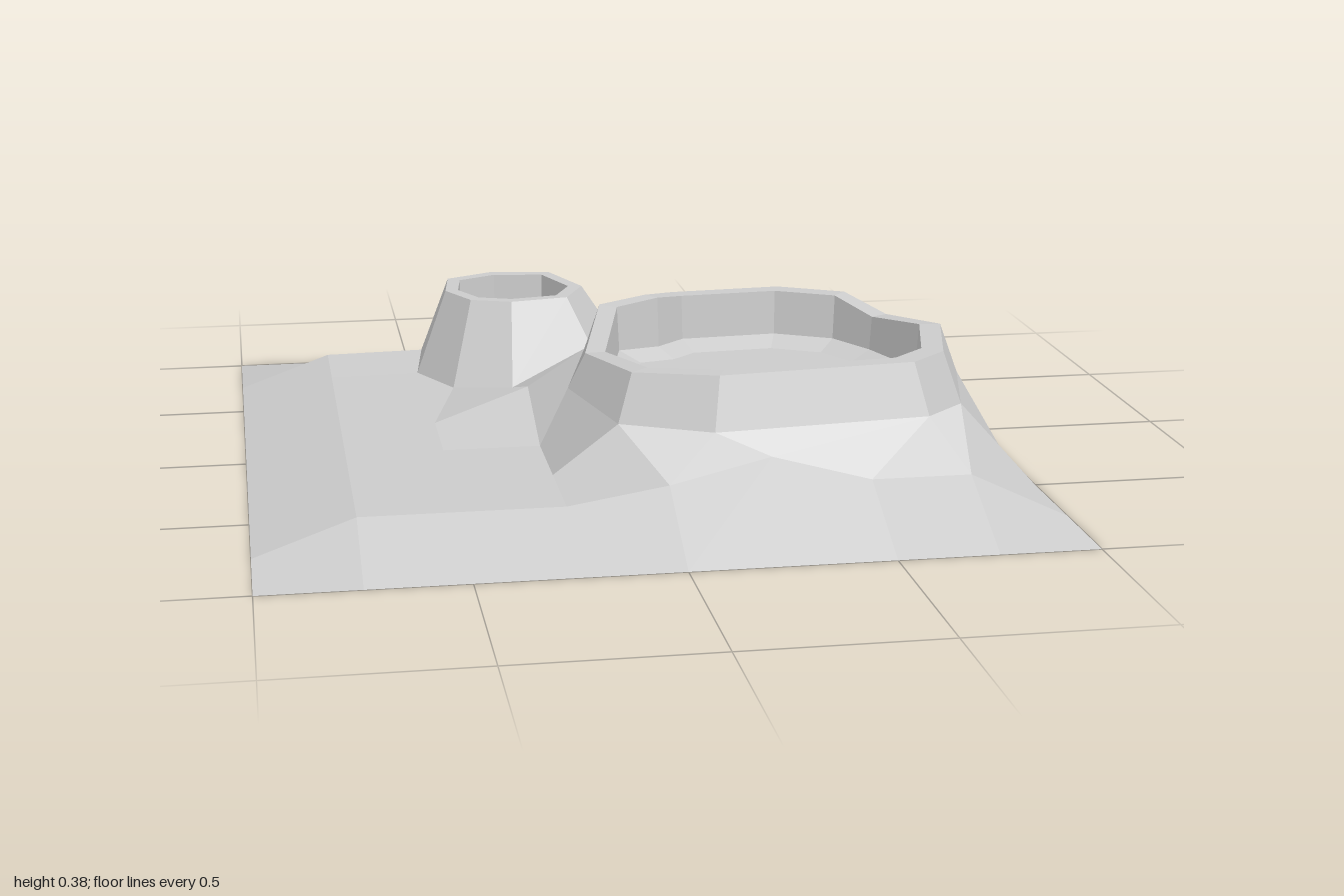
import * as THREE from 'three';

const STEP = 0.25, N = 9;
const material = new THREE.MeshStandardMaterial({ color: 0xcccccc, side: THREE.DoubleSide });

// Each crater replaces a square block of grid cells. Its rim [x, y, z] runs clockwise
// seen from above, from the block's back left corner; the other loops are scaled from it.
const largeCrater = {
  name: 'largeCrater', col: 4, row: 3, size: 3, centre: [0.33, 0.2],
  rim: [[0.09, 0.385, -0.14], [0.18, 0.37, -0.22], [0.48, 0.37, -0.24], [0.65, 0.37, -0.15],
    [0.73, 0.34, 0], [0.81, 0.37, 0.24], [0.74, 0.37, 0.51], [0.64, 0.37, 0.6],
    [0.14, 0.37, 0.65], [-0.06, 0.36, 0.55], [-0.13, 0.33, 0.24], [-0.04, 0.37, -0.11]],
  baseY: Array(12).fill(0.24), baseScale: 1.1, lipScale: 0.885,
  wallScale: 0.87, wallY: 0.25, floorScale: 0.73, floorY: 0.225,
};
const smallCrater = {
  name: 'smallCrater', col: 2, row: 1, size: 2, centre: [-0.23, -0.54],
  rim: [[-0.4, 0.325, -0.67], [-0.27, 0.325, -0.735], [-0.1, 0.325, -0.71], [-0.03, 0.325, -0.52],
    [-0.09, 0.325, -0.39], [-0.25, 0.325, -0.36], [-0.36, 0.325, -0.4], [-0.42, 0.325, -0.52]],
  baseY: [0.1, 0.17, 0.19, 0.19, 0.19, 0.1, 0.09, 0.09], baseScale: 1.45, lipScale: 0.81,
  wallScale: 0.8, wallY: 0.25, floorScale: 0.6, floorY: 0.25,
};
const craters = [smallCrater, largeCrater];

// Copy of a crater's rim, scaled about its centre, with heights from a rule
function scaledRim({ rim, centre: [cx, cz] }, scale, height) {
  return rim.map(([x, y, z], i) => [cx + (x - cx) * scale, height(y, i), cz + (z - cz) * scale]);
}

const baseLoop = (crater) => scaledRim(crater, crater.baseScale, (y, i) => crater.baseY[i]);
const spanAcross = (p, q) => Math.hypot(p[0] - q[0], p[2] - q[2]);

// Mesh of four-cornered facets, each shaded flat and split along its shorter diagonal
function facetMesh(name, quads) {
  const positions = [], normals = [];
  for (const quad of quads) {
    const [p, q, r, s] = quad.map((corner) => new THREE.Vector3(...corner));
    const normal = r.clone().sub(p).cross(s.clone().sub(q)).normalize();
    const alongPR = spanAcross(quad[0], quad[2]) < 0.8 * spanAcross(quad[1], quad[3]);
    for (const corner of alongPR ? [p, q, r, p, r, s] : [p, q, s, q, r, s]) {
      positions.push(...corner.toArray());
      normals.push(...normal.toArray());
    }
  }
  const geometry = new THREE.BufferGeometry();
  geometry.setAttribute('position', new THREE.Float32BufferAttribute(positions, 3));
  geometry.setAttribute('normal', new THREE.Float32BufferAttribute(normals, 3));
  const mesh = new THREE.Mesh(geometry, material);
  mesh.name = name;
  return mesh;
}

// Closed band between two loops with the same number of points
function band(name, outer, inner) {
  const n = outer.length;
  return facetMesh(name, outer.map((p, i) => [p, inner[i], inner[(i + 1) % n], outer[(i + 1) % n]]));
}

// Flat disc closing a loop, two edges to a facet
function disc(name, loop, { centre: [cx, cz], floorY }) {
  const quads = [];
  for (let i = 0; i < loop.length; i += 2) {
    quads.push([loop[i], [cx, floorY, cz], loop[(i + 2) % loop.length], loop[i + 1]]);
  }
  return facetMesh(name, quads);
}

// Grid points [column, row] around the border of a square block, clockwise
function blockBorder({ col, row, size }) {
  const sides = [[], [], [], []];
  for (let i = 0; i < size; i++) {
    sides[0].push([col + i, row]);
    sides[1].push([col + size, row + i]);
    sides[2].push([col + size - i, row + size]);
    sides[3].push([col, row + size - i]);
  }
  return sides.flat();
}

// Ground sheet: a low plateau falling to its edges, open where the craters sit
function makeGround() {
  const points = [], quads = [];
  for (let r = 0; r < N; r++) {
    for (let c = 0; c < N; c++) {
      const edge = r === 0 || c === 0 || r === N - 1 || c === N - 1;
      points.push([c * STEP - 1, edge ? 0 : 0.09, r * STEP - 1]);
    }
  }
  // Raised foot of the large crater
  for (const [c, r, y] of [[4, 7, 0.13], [5, 7, 0.19], [6, 7, 0.12], [7, 7, 0.12], [3, 4, 0.18]]) {
    points[r * N + c][1] = y;
  }
  // Pull the grid onto the crater bases; the shared corner stays with the small one
  const shared = largeCrater.row * N + largeCrater.col;
  const largeBase = baseLoop(largeCrater);
  blockBorder(largeCrater).forEach(([c, r], i) => { points[r * N + c] = largeBase[i]; });
  const smallBase = baseLoop(smallCrater);
  blockBorder(smallCrater).forEach(([c, r], i) => { points[r * N + c] = smallBase[i]; });
  // Saddle between the two craters
  quads.push([points[shared], points[shared + N], largeBase[0], points[shared + 1]]);

  for (let r = 0; r < N - 1; r++) {
    for (let c = 0; c < N - 1; c++) {
      const open = craters.some(({ col, row, size }) => c >= col && c < col + size && r >= row && r < row + size);
      if (open) continue;
      const a = r * N + c;
      quads.push([points[a], points[a + N], points[a + N + 1], points[a + 1]]);
    }
  }
  return facetMesh('ground', quads);
}

function makeCrater(crater) {
  const group = new THREE.Group();
  group.name = crater.name;
  const lip = scaledRim(crater, crater.lipScale, (y) => y);
  const wallFoot = scaledRim(crater, crater.wallScale, () => crater.wallY);
  const floor = scaledRim(crater, crater.floorScale, () => crater.floorY);
  group.add(
    band('outerWall', baseLoop(crater), crater.rim),
    band('rim', crater.rim, lip),
    band('innerWall', lip, wallFoot),
    band('floorEdge', wallFoot, floor),
    disc('floor', floor, crater),
  );
  return group;
}

export function createModel() {
  const model = new THREE.Group();
  model.name = 'craterTerrain';
  model.add(makeGround(), ...craters.map(makeCrater));
  return model;
}
